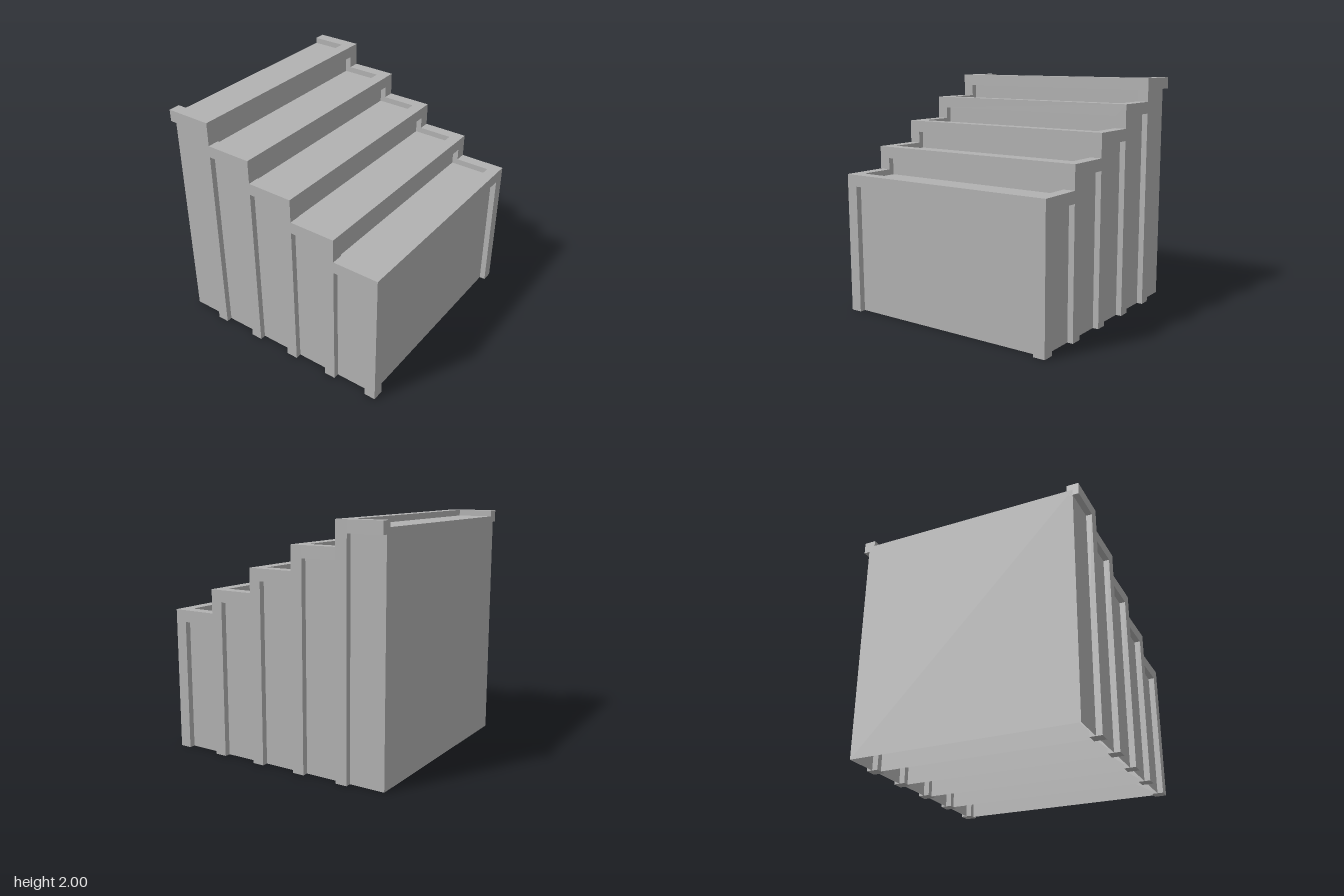
import * as THREE from 'three';

const STEPS = 5;
const DEPTH = 0.4;    // run of one step
const BAR = 0.1;      // thickness of the frame bars
const RECESS = 0.05;  // how far the panels sit behind the frame

export function createModel() {
  const grey = new THREE.MeshStandardMaterial({ color: 0xb2b2b2, side: THREE.DoubleSide });
  grey.name = 'grey';

  function add(parent, name, geometry, x, y, z) {
    const mesh = new THREE.Mesh(geometry, grey);
    mesh.name = name;
    mesh.position.set(x, y, z);
    parent.add(mesh);
  }

  // Box reduced to some of its sides (0 +x, 1 -x, 2 +y, 3 -y, 4 +z, 5 -z)
  function openBox(w, h, d, sides) {
    const box = new THREE.BoxGeometry(w, h, d);
    const index = Array.from(box.index.array);
    box.setIndex(sides.flatMap((s) => index.slice(s * 6, s * 6 + 6)));
    box.clearGroups();
    return box;
  }

  // Front arch: two posts joined by a top bar, in one piece
  function archGeometry(h) {
    const shape = new THREE.Shape();
    const inner = 1 - BAR;
    [[-1, 0], [-inner, 0], [-inner, h - BAR], [inner, h - BAR], [inner, 0], [1, 0], [1, h], [-1, h]]
      .forEach(([x, y], i) => (i ? shape.lineTo(x, y) : shape.moveTo(x, y)));
    return new THREE.ExtrudeGeometry(shape, { depth: BAR, bevelEnabled: false });
  }

  const model = new THREE.Group();
  model.name = 'steppedBlock';

  for (let i = 0; i < STEPS; i++) {
    const last = i === STEPS - 1;
    const front = 1 - i * DEPTH;
    const height = 1.2 + i * 0.2;
    const step = new THREE.Group();
    step.name = `step${i + 1}`;
    model.add(step);

    // Frame: arch at the front, a rail along the top of each side
    add(step, 'frontFrame', archGeometry(height), 0, 0, front - BAR);
    for (const side of [-1, 1]) {
      add(step, side > 0 ? 'leftRail' : 'rightRail', new THREE.BoxGeometry(BAR, BAR, DEPTH - BAR),
        side * (1 - BAR / 2), height - BAR / 2, front - (DEPTH + BAR) / 2);
    }

    // Hollow panelled body, open underneath; only the last one has a back
    const zFront = front - RECESS;
    const zBack = last ? -1 : zFront - DEPTH;
    const bodyHeight = height - RECESS;
    const sides = last ? [0, 1, 2, 4, 5] : [0, 1, 2, 4];
    add(step, 'panels', openBox(2 - 2 * RECESS, bodyHeight, zFront - zBack, sides),
      0, bodyHeight / 2, (zFront + zBack) / 2);
  }
  return model;
}
